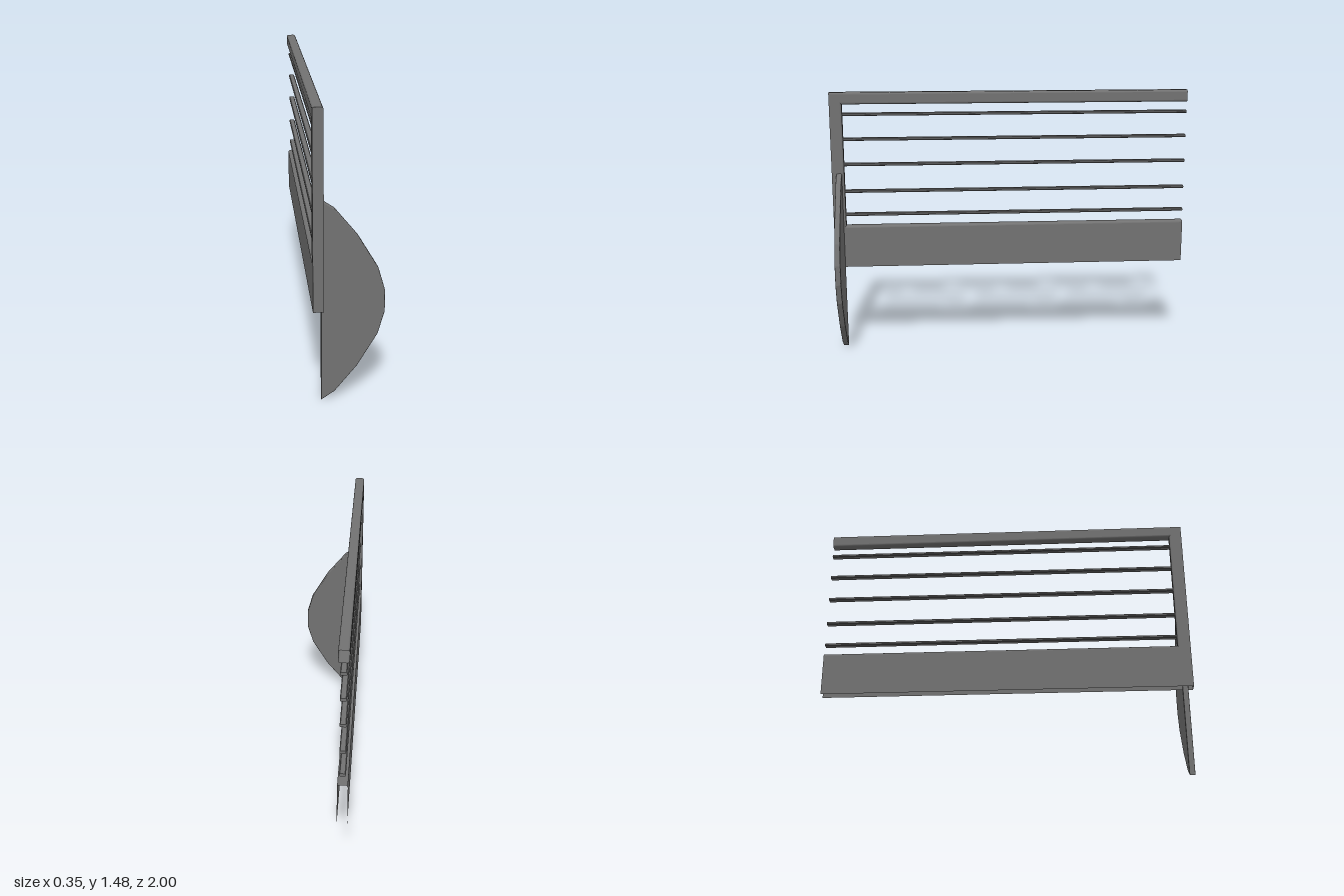
import * as THREE from 'three';

const X0 = -0.175, X1 = -0.123, R = 0.011;   // frame side planes and edge radius

const darkGrey = new THREE.MeshStandardMaterial({ color: 0x727272, side: THREE.DoubleSide });

function named(name, geometry) {
  const mesh = new THREE.Mesh(geometry, darkGrey);
  mesh.name = name;
  return mesh;
}

const shapeOf = pts => new THREE.Shape(pts.map(p => new THREE.Vector2(...p)));

// Rounded edge section across the frame: [x, depth below the edge]
const edgeSection = [];
for (let k = 0; k <= 4; k++) {
  const a = k / 4 * Math.PI / 2;
  edgeSection.push([X0 + R - R * Math.cos(a), R - R * Math.sin(a)]);
}
for (let k = 4; k >= 0; k--) edgeSection.push([X0 + X1 - edgeSection[k][0], edgeSection[k][1]]);

// C-shaped side plate in the z-y plane, set at the given x
function sidePlate(x) {
  const pts = [[-1, 1.475 - R], [1, 1.475 - R], [1, 0.48], [-1, 0.48],
    [-1, 0.72 - R], [0.932 + R, 0.72 - R], [0.932 + R, 1.409 + R], [-1, 1.409 + R]];
  const g = new THREE.ShapeGeometry(shapeOf(pts.map(([z, y]) => [-z, y])));
  g.rotateY(Math.PI / 2);
  if (x === X0) {                            // turn the outer plate to face -x
    const i = g.index.array;
    for (let k = 0; k < i.length; k += 3) [i[k], i[k + 1]] = [i[k + 1], i[k]];
    g.computeVertexNormals();
  }
  return g.translate(x, 0, 0);
}

// Rounded edge strip along a path of [z, y, inset z, inset y]
function edgeStrip(path, flip) {
  const pos = [], index = [], n = edgeSection.length;
  for (let s = 0; s < path.length - 1; s++) {
    const base = pos.length / 3;
    for (const [z, y, iz, iy] of [path[s], path[s + 1]])
      for (const [x, d] of edgeSection) pos.push(x, y + iy * d, z + iz * d);
    for (let k = 0; k < n - 1; k++) {
      const a = base + k, b = a + 1, c = a + n, e = b + n;
      if (flip) index.push(a, b, c, b, e, c);
      else index.push(a, c, b, b, c, e);
    }
  }
  const g = new THREE.BufferGeometry();
  g.setAttribute('position', new THREE.Float32BufferAttribute(pos, 3));
  g.setIndex(index);
  g.computeVertexNormals();
  return g;
}

export function createModel() {
  const model = new THREE.Group();
  model.name = 'endRailing';

  // Hollow frame: top rail, front post and deep lower panel, open below and at the back end
  const frame = new THREE.Group();
  frame.name = 'frame';
  const postFront = shapeOf([[X0, 0.48], ...edgeSection.map(([x, d]) => [x, 1.475 - d]), [X1, 0.48]]);
  frame.add(
    named('frameInnerSide', sidePlate(X1)),
    named('frameOuterSide', sidePlate(X0)),
    named('frameTopEdge', edgeStrip([[-1, 1.475, 0, -1], [1, 1.475, 0, -1]], false)),
    named('postFront', new THREE.ShapeGeometry(postFront).translate(0, 0, 1)),
    named('frameInnerEdge', edgeStrip([[-1, 1.409, 0, 1], [0.932, 1.409, 1, 1],
      [0.932, 0.72, 1, -1], [-1, 0.72, 0, -1]], true)));
  model.add(frame);

  // Thin horizontal bars with chamfered section
  const w = 0.016, h = 0.008, c = 0.004;
  const barSection = shapeOf([[-w, -h + c], [-w + c, -h], [w - c, -h], [w, -h + c],
    [w, h - c], [w - c, h], [-w + c, h], [-w, h - c]]);
  const barGeometry = new THREE.ExtrudeGeometry(barSection, { depth: 1.94, bevelEnabled: false });
  for (const y of [0.783, 0.917, 1.07, 1.213, 1.352]) {
    const bar = named('bar', barGeometry);
    bar.position.set(-0.149, y, -1);
    model.add(bar);
  }

  // Curved fin standing across the front post
  const half = [[-0.135, 0], [-0.125, 0.006], [-0.07, 0.043], [0.04, 0.178], [0.139, 0.345], [0.172, 0.46]];
  const outline = [...half, ...half.map(([x, y]) => [x, 1.03 - y]).reverse()];
  const fin = named('fin', new THREE.ExtrudeGeometry(shapeOf(outline),
    { depth: 0.018, bevelThickness: 0.006, bevelSize: 0.004, bevelOffset: -0.004, bevelSegments: 3 }));
  fin.position.z = 0.951;
  model.add(fin);

  return model;
}
